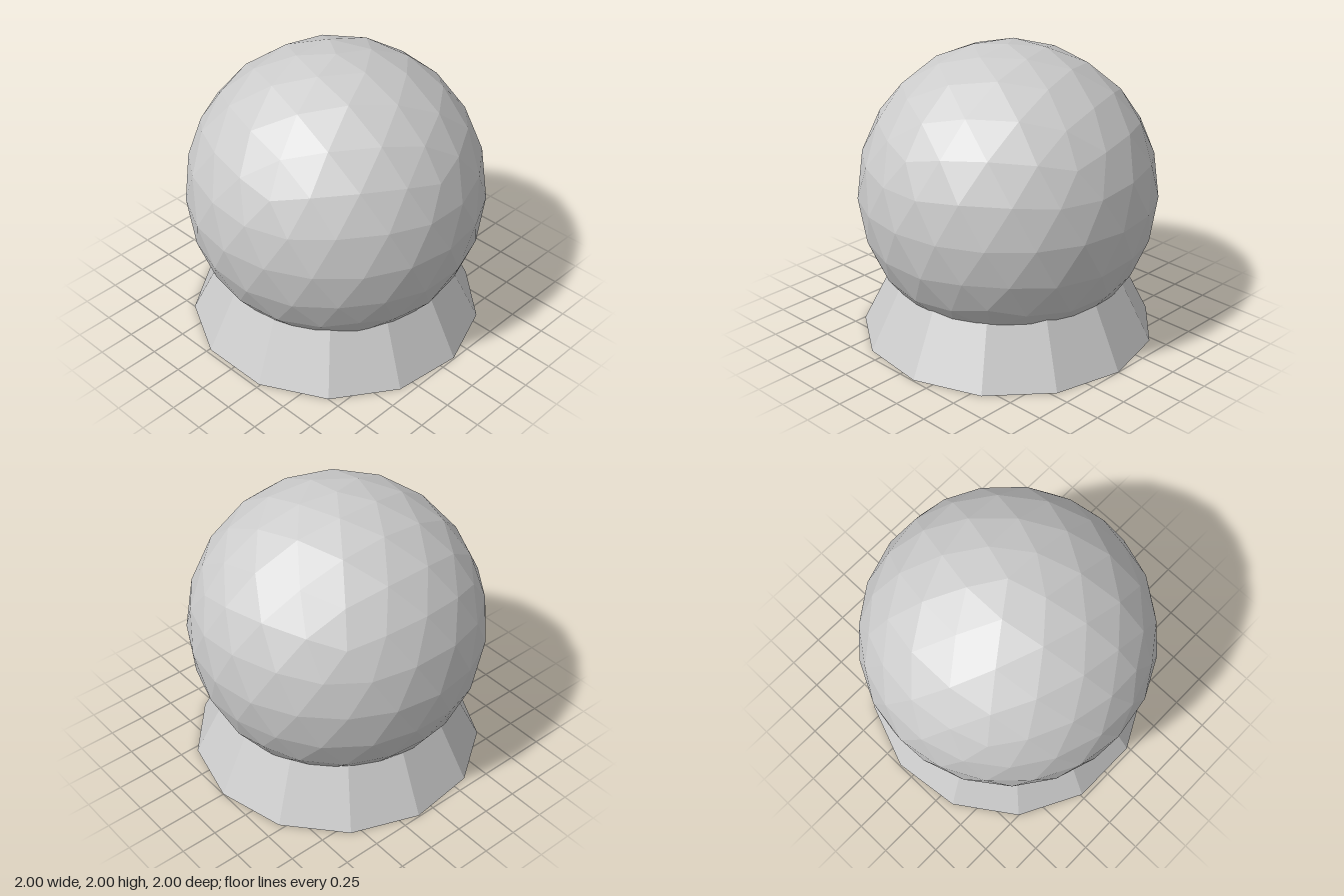
import * as THREE from 'three';

export function createModel() {
  const group = new THREE.Group();
  const material = new THREE.MeshStandardMaterial({ color: 0xcccccc, flatShading: true });

  const add = (name, geometry) => {
    const mesh = new THREE.Mesh(geometry, material);
    mesh.name = name;
    group.add(mesh);
  };

  // Faceted ball, turned so that one icosahedron corner is at the top
  // and one of its upper ring corners points to +x
  const golden = (1 + Math.sqrt(5)) / 2;
  const ball = new THREE.IcosahedronGeometry(1, 3);
  ball.rotateZ(-Math.atan(1 / golden));
  ball.translate(0, 1, 0);
  add('ball', ball);

  // 13-sided cone standing inside the ball, with a corner at the back;
  // only its flared foot shows
  const base = new THREE.ConeGeometry(1, 2, 13, 1, false, Math.PI);
  base.translate(0, 1, 0);
  add('base', base);

  return group;
}
